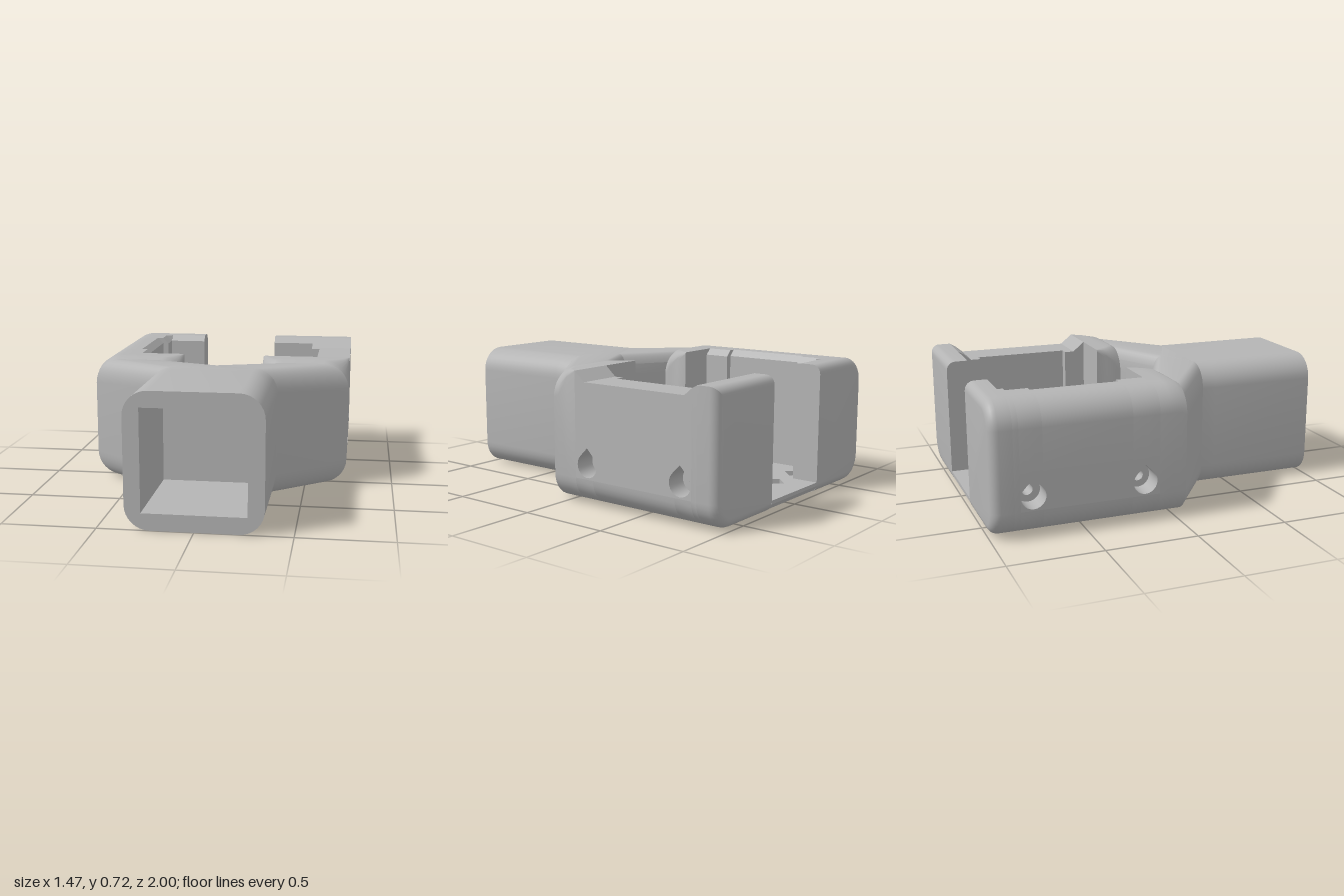
import * as THREE from 'three';
import { toCreasedNormals } from 'three/addons/utils/BufferGeometryUtils.js';

const SEG = 8;

// Rounded rectangle, counter-clockwise from bottom left; r = [bl, br, tr, tl], a negative r is a flat chamfer
function rect(x0, x1, y0, y1, r) {
  const corners = [[x0, y0, 1, 1], [x1, y0, -1, 1], [x1, y1, -1, -1], [x0, y1, 1, -1]];
  const pts = [];
  corners.forEach(([x, y, sx, sy], c) => {
    const R = Math.abs(r[c]);
    const cx = x + sx * R, cy = y + sy * R;
    const a0 = Math.PI + c * Math.PI / 2;
    for (let i = 0; i <= SEG; i++) {
      const t = i / SEG, a = a0 + t * Math.PI / 2;
      if (r[c] >= 0) pts.push([cx + R * Math.cos(a), cy + R * Math.sin(a)]);
      else {
        const b = a0 + Math.PI / 2;
        pts.push([
          cx + R * (Math.cos(a0) * (1 - t) + Math.cos(b) * t),
          cy + R * (Math.sin(a0) * (1 - t) + Math.sin(b) * t)]);
      }
    }
  });
  return pts;
}

// Solid skinned over sections [z, points] in rising z, with end caps
function loft(sections) {
  const pos = [];
  const P = (s, i) => {
    const [z, pts] = sections[s];
    const p = pts[i % pts.length];
    return new THREE.Vector3(p[0], p[1], z);
  };
  const tri = (a, b, c) => {
    const area = b.clone().sub(a).cross(c.clone().sub(a)).length();
    if (area > 1e-9) for (const v of [a, b, c]) pos.push(v.x, v.y, v.z);
  };
  const n = sections[0][1].length, last = sections.length - 1;
  for (let s = 0; s < last; s++) {
    for (let i = 0; i < n; i++) {
      tri(P(s, i), P(s, i + 1), P(s + 1, i + 1));
      tri(P(s, i), P(s + 1, i + 1), P(s + 1, i));
    }
  }
  for (let i = 1; i < n - 1; i++) {
    tri(P(last, 0), P(last, i), P(last, i + 1));
    tri(P(0, 0), P(0, i + 1), P(0, i));
  }
  const g = new THREE.BufferGeometry();
  g.setAttribute('position', new THREE.Float32BufferAttribute(pos, 3));
  return g;
}

// Mirror across x and restore the face order
function mirrorX(geo) {
  const g = geo.index ? geo.toNonIndexed() : geo;
  const p = g.attributes.position;
  for (let i = 0; i < p.count; i += 3) {
    const v = [0, 2, 1].map(k => [-p.getX(i + k), p.getY(i + k), p.getZ(i + k)]);
    v.forEach((q, k) => p.setXYZ(i + k, ...q));
  }
  return g;
}

const path = (Type, pts) => new Type(pts.map(p => new THREE.Vector2(p[0], p[1])));
const extrude = (shape, depth) => new THREE.ExtrudeGeometry(shape, { depth, bevelEnabled: false, curveSegments: 16 });

// Drop-shaped hole with its point upward
function teardrop(u, y, r) {
  const pts = [[u, y + r * Math.SQRT2]];
  for (let i = 0; i <= 18; i++) {
    const a = Math.PI * (0.75 + 1.5 * i / 18);
    pts.push([u + r * Math.cos(a), y + r * Math.sin(a)]);
  }
  return path(THREE.Path, pts);
}

// Upright slab of a side wall, from za to zb, pierced by drops of radius r
function slab(x0, x1, za, zb, r, holes) {
  const s = path(THREE.Shape, [[-zb, 0.15], [-za, 0.15], [-za, 0.34], [-zb, 0.34]]);
  for (const z of holes) s.holes.push(teardrop(-z, 0.225, r));
  return extrude(s, x1 - x0).rotateY(Math.PI / 2).translate(x0, 0, 0);
}

export function createModel() {
  const model = new THREE.Group();
  const grey = new THREE.MeshStandardMaterial({ color: 0xb4b4b4 });
  grey.name = 'grey plastic';

  const add = (parent, name, geo) => {
    const mesh = new THREE.Mesh(toCreasedNormals(geo, 0.5), grey);
    mesh.name = name;
    parent.add(mesh);
  };

  // Both halves of the tray are described on +x; the -x half is mirrored
  for (const side of [1, -1]) {
    const half = new THREE.Group();
    half.name = side > 0 ? 'leftHalf' : 'rightHalf';
    model.add(half);
    const put = (name, geo) => add(half, name, side > 0 ? geo : mirrorX(geo));
    const X = 0.735, T = 0.72, B = 0.01;
    const open = side > 0;
    const rTop = open ? 0 : 0.14;
    const inner = open ? 0.485 : 0.455;
    const deep = open ? 0.535 : 0.49;
    const [ra, rb] = open ? [-0.75, -0.22] : [-0.73, -0.25];

    // Side wall: end pieces and the thinner recessed middle
    for (const [za, zb, xi] of [[-0.85, ra, inner], [ra, rb, deep], [rb, -0.1, inner]]) {
      put('wallFoot', loft([za, zb].map(z => [z, rect(xi, X, B, 0.15, [0, 0.14, 0, 0])])));
      const hole = xi === deep ? [] : [za === -0.85 ? -0.785 : -0.18];
      put('wallInnerLayer', slab(xi, 0.62, za, zb, 0.03, hole));
      // The open wall dips between two sloped ends
      const height = z => {
        if (!open) return T;
        const d = Math.min(z + 0.87, -0.1 - z);
        return T - 0.055 * Math.min(1, Math.max(0, d / 0.065));
      };
      const stops = [za, -0.805, -0.165, zb].filter(z => z >= za && z <= zb);
      put('wallTop', loft(stops.map(z =>
        [z, rect(xi, X, 0.34, height(z), [0, 0, rTop, open ? 0 : -0.035])])));
    }
    put('wallOuterLayer', slab(0.62, X, -0.85, -0.1, 0.066, [-0.782, -0.18]));

    // Back wall with rounded outer edges
    const back = [];
    for (let i = 0; i <= 6; i++) {
      const a = i / 6 * Math.PI / 2, d = 0.05 * (1 - Math.sin(a));
      back.push([-0.95 - 0.05 * Math.cos(a),
        rect(0.235, X - d, B + d, T - d, [0, 0.14 - d, Math.max(0.05 - d, rTop - d) * (open ? 0 : 1), 0])]);
    }
    back.push([-0.88, rect(0.235, X, B, T, [0, 0.14, rTop, 0])]);
    put('backWall', loft(back));
    put('backWallLip', loft([[-0.88, T], [-0.85, T - 0.035]].map(([z, y]) =>
      [z, rect(0.235, inner, B, y, [0, 0, 0, 0])])));
    put('backCorner', loft([[-0.88, T], [-0.85, open ? T - 0.017 : T]].map(([z, y]) =>
      [z, rect(inner, X, B, y, [0, 0.14, rTop, 0])])));

    // Front post, its top rounding over into the arm
    put('frontPost', loft([
      [-0.1, rect(0.235, X, B, T, [0, 0.14, rTop, 0.01])],
      [-0.04, rect(0.235, X, B, T, [0, 0.14, Math.max(rTop, 0.05), 0.05])],
      [0.02, rect(0.235, X, B, T, [0, 0.14, 0.14, 0.1])],
      [0.05, rect(0.235, X, B, 0.705, [0, 0.14, 0.14, 0.13])]]));

    // Arm joining the post to the tube
    put('arm', loft([
      [0.05, rect(0.235, X, B, 0.705, [0.13, 0.14, 0.14, 0.13])],
      [0.32, rect(-0.355, 0.355, 0, 0.715, [0.13, 0.13, 0.13, 0.13])]]));
  }

  // Floor with a grid of diamond vents
  const floor = path(THREE.Shape, [[-0.235, -0.05], [0.235, -0.05], [0.235, 0.1], [0.54, 0.1],
    [0.54, 0.875], [-0.5, 0.875], [-0.5, 0.1], [-0.235, 0.1]]);
  for (const x of [-0.35, -0.108, 0.133, 0.375]) {
    for (const u of [0.8, 0.575, 0.35, 0.125]) {
      const h = 0.069;
      floor.holes.push(path(THREE.Path, [[x - h, u], [x, u + h], [x + h, u], [x, u - h]]));
    }
  }
  add(model, 'ventedFloor', extrude(floor, 0.06).rotateX(-Math.PI / 2).translate(0, 0.01, 0));

  // Floor sill under the back opening
  add(model, 'backSill', loft([[-1, 0.05], [-0.985, 0.025], [-0.95, 0.01], [-0.875, 0.01]].map(([z, y]) =>
    [z, rect(-0.235, 0.235, y, 0.07, [0, 0, 0, 0])])));

  // Tube with a blind square socket
  const outline = rect(-0.355, 0.355, 0, 0.715, [0.13, 0.13, 0.13, 0.13]);
  add(model, 'tubeBase', loft([[0.32, outline], [0.4, outline]]));
  const tube = path(THREE.Shape, outline);
  tube.holes.push(path(THREE.Path, [[-0.27, 0.09], [-0.27, 0.63], [0.27, 0.63], [0.27, 0.09]]));
  add(model, 'tube', extrude(tube, 0.6).translate(0, 0, 0.4));

  return model;
}
